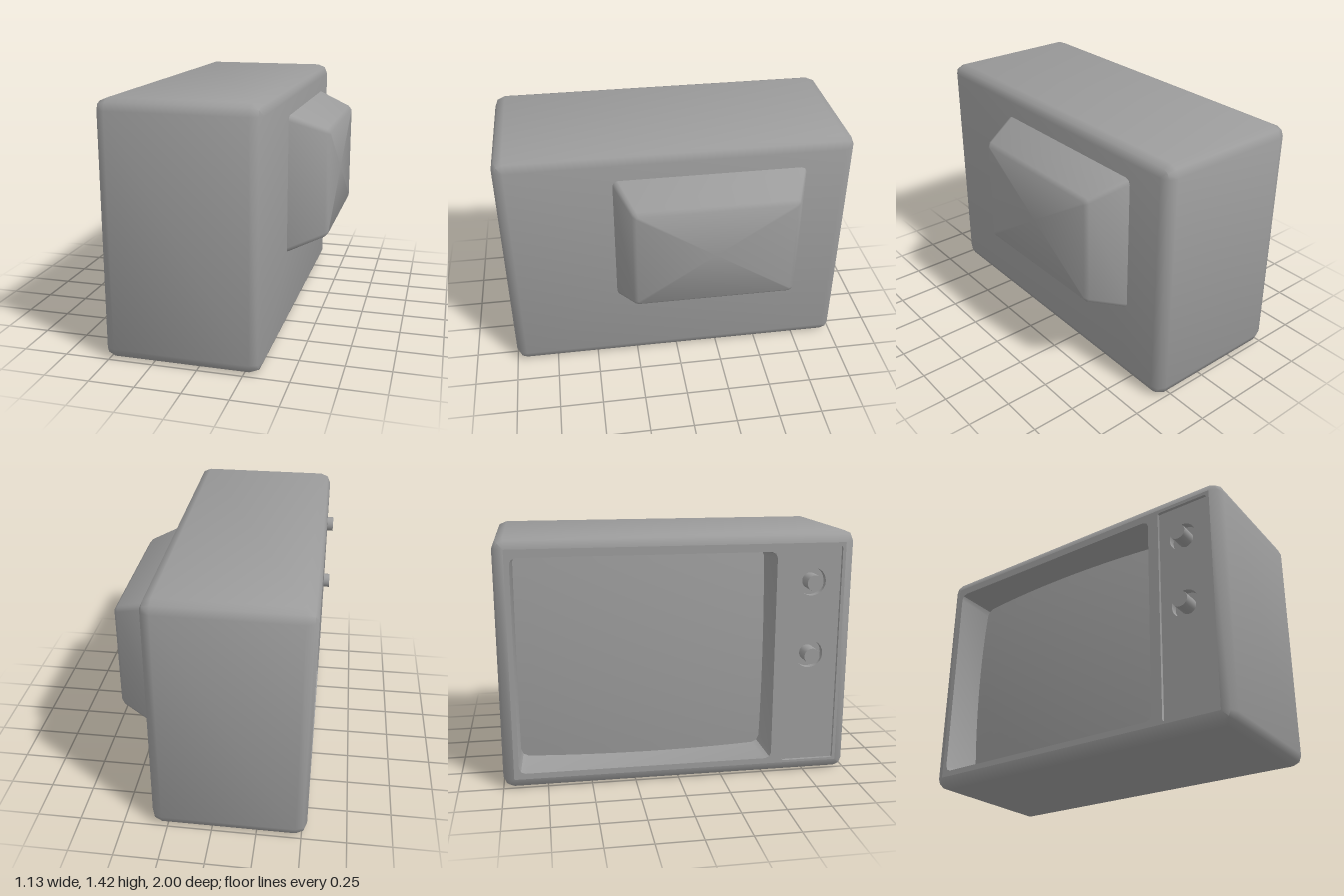
import * as THREE from 'three';
import { toCreasedNormals } from 'three/addons/utils/BufferGeometryUtils.js';

// Built facing local +z, then the whole set is turned so the screen faces -x.
const grey = new THREE.MeshStandardMaterial({ color: 0x9c9c9c });

// Counter-clockwise rounded rectangle; box = [x0, x1, y0, y1]
function roundedRect([x0, x1, y0, y1], r, inset = 0, seg = 2) {
  x0 += inset; x1 -= inset; y0 += inset; y1 -= inset;
  const pts = [];
  const corners = [[x1 - r, y1 - r], [x0 + r, y1 - r], [x0 + r, y0 + r], [x1 - r, y0 + r]];
  corners.forEach(([cx, cy], k) => {
    for (let i = 0; i <= seg; i++) {
      const a = (k + i / seg) * Math.PI / 2;
      pts.push(new THREE.Vector2(cx + r * Math.cos(a), cy + r * Math.sin(a)));
    }
  });
  return pts;
}

// Skin between loops [points, z]; rising z faces outward, falling z faces inward
function loft(loops, { capStart = false, capEnd = false, crease = 0.65 } = {}) {
  const pos = [];
  const put = (p, z) => pos.push(p.x, p.y, z);
  const n = loops[0][0].length;
  for (let k = 0; k + 1 < loops.length; k++) {
    const [a, za] = loops[k], [b, zb] = loops[k + 1];
    for (let i = 0; i < n; i++) {
      const j = (i + 1) % n;
      put(a[i], za); put(a[j], za); put(b[j], zb);
      put(a[i], za); put(b[j], zb); put(b[i], zb);
    }
  }
  const cap = ([p, z], flip) => {
    const centre = new THREE.Vector2();
    p.forEach(q => centre.addScaledVector(q, 1 / n));
    for (let i = 0; i < n; i++) {
      const j = (i + 1) % n;
      put(centre, z); put(p[flip ? j : i], z); put(p[flip ? i : j], z);
    }
  };
  if (capStart) cap(loops[0], true);
  if (capEnd) cap(loops[loops.length - 1], false);
  const g = new THREE.BufferGeometry();
  g.setAttribute('position', new THREE.Float32BufferAttribute(pos, 3));
  return toCreasedNormals(g, crease);
}

// Flat face with holes
function plate(outline, holes, z) {
  const shape = new THREE.Shape(outline);
  shape.holes = holes.map(h => new THREE.Path(h));
  return new THREE.ShapeGeometry(shape).translate(0, 0, z);
}

export function createModel() {
  const model = new THREE.Group();
  model.name = 'television';
  const set = new THREE.Group();
  set.name = 'set';
  set.rotation.y = -Math.PI / 2;
  model.add(set);
  const add = (name, geometry) => {
    const mesh = new THREE.Mesh(geometry, grey);
    mesh.name = name;
    set.add(mesh);
    return mesh;
  };

  const front = 0.528, back = -0.344, R = 0.062;
  const body = [-1, 1, 0, 1.417];
  const opening = [-0.91, 0.545, 0.095, 1.31];
  const panel = [0.61, 0.92, 0.075, 1.335];

  // Cabinet shell with softly bevelled edges, back closed, front open
  const loops = [];
  for (const side of [-1, 1]) {
    for (let i = 0; i <= 2; i++) {
      const a = (side < 0 ? i : 2 - i) * Math.PI / 4;
      const inset = R * (1 - Math.sin(a)), d = R * (1 - Math.cos(a));
      loops.push([roundedRect(body, Math.max(R - inset, 0.004), inset),
        side < 0 ? back + d : front - d]);
    }
  }
  add('cabinet', loft(loops, { capStart: true, crease: 0.9 }));

  // Front frame with openings for the screen and the control panel
  const frameOutline = loops[loops.length - 1][0];
  add('frontFrame', plate(frameOutline,
    [roundedRect(opening, 0.035), roundedRect(panel, 0.012)], front));

  // Deep screen surround, running past the edge of the glass
  add('screenSurround', loft([
    [roundedRect(opening, 0.035), front],
    [roundedRect(opening, 0.045, 0.012), 0.26],
  ]));

  // Domed screen, its corners lying deepest
  const w = opening[1] - opening[0] - 0.015, h = opening[3] - opening[2] - 0.015;
  const glass = new THREE.PlaneGeometry(w, h, 20, 20);
  const p = glass.attributes.position;
  for (let i = 0; i < p.count; i++) {
    p.setZ(i, -0.085 * (p.getX(i) ** 2 + p.getY(i) ** 2));
  }
  glass.computeVertexNormals();
  add('screen', glass).position.set(
    (opening[0] + opening[1]) / 2, (opening[2] + opening[3]) / 2, 0.362);

  // Recessed control panel with two round wells and knobs
  const panelZ = front - 0.018, knobX = 0.755, knobYs = [1.135, 0.715];
  const well = y => roundedRect([knobX - 0.08, knobX + 0.08, y - 0.08, y + 0.08], 0.08, 0, 6);
  add('panelRim', loft([
    [roundedRect(panel, 0.012), front], [roundedRect(panel, 0.012), panelZ]]));
  add('controlPanel', plate(roundedRect(panel, 0.012), knobYs.map(well), panelZ));
  for (const y of knobYs) {
    add('knobWell', loft([[well(y), panelZ], [well(y), panelZ - 0.04]], { capEnd: true }));
    const knob = new THREE.CylinderGeometry(0.045, 0.045, 0.1, 24).rotateX(Math.PI / 2);
    add('knob', knob).position.set(knobX, y, 0.515);
  }

  // Tapered housing on the back with a softened end
  const base = [-0.725, 0.365, 0.467, 1.265], end = [-0.645, 0.28, 0.552, 1.183];
  add('backHousing', loft([
    [roundedRect(end, 0.012, 0.022), -0.564],
    [roundedRect(end, 0.025), -0.545],
    [roundedRect(base, 0.03), back + 0.005],
  ], { capStart: true, crease: 0.9 }));

  return model;
}
